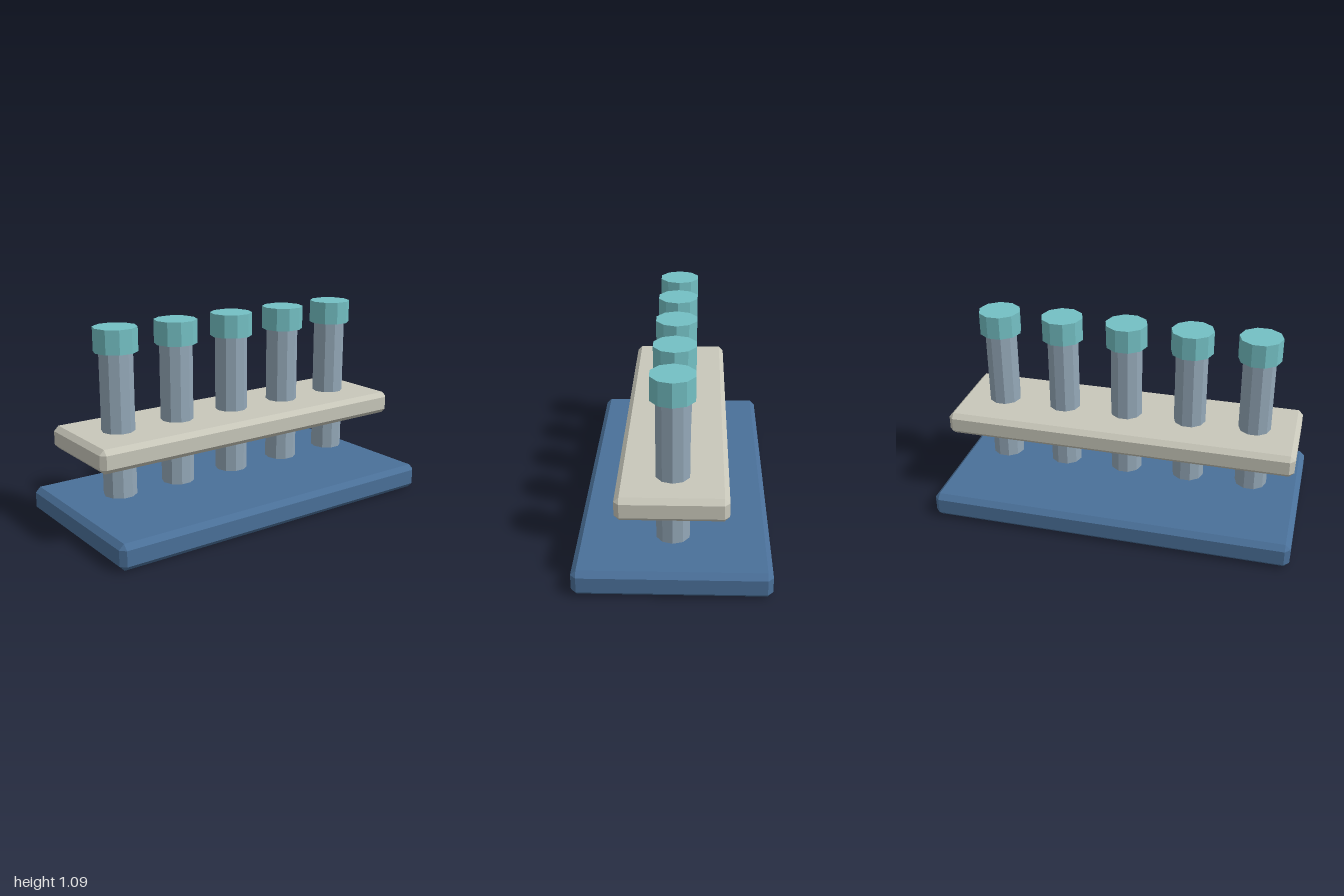
import * as THREE from 'three';
import { ConvexGeometry } from 'three/addons/geometries/ConvexGeometry.js';

const mat = (color) => new THREE.MeshStandardMaterial({ color, flatShading: true });

// Box with every edge chamfered by c
function chamferBox(w, h, d, c) {
  const pts = [];
  for (const sx of [-1, 1]) for (const sy of [-1, 1]) for (const sz of [-1, 1]) {
    for (let face = 0; face < 3; face++) {
      const inset = [0, 1, 2].map((axis) => (axis === face ? 0 : c));
      pts.push(new THREE.Vector3(
        sx * (w / 2 - inset[0]), sy * (h / 2 - inset[1]), sz * (d / 2 - inset[2])));
    }
  }
  return new ConvexGeometry(pts);
}

// Ten-sided upright cylinder with a corner on the x axis, between two heights
function decagon(radius, y0, y1) {
  return new THREE.CylinderGeometry(radius, radius, y1 - y0, 10)
    .rotateY(Math.PI / 2)
    .translate(0, (y0 + y1) / 2, 0);
}

export function createModel() {
  const group = new THREE.Group();
  const add = (name, geometry, material, x = 0, y = 0) => {
    const mesh = new THREE.Mesh(geometry, material);
    mesh.name = name;
    mesh.position.set(x, y, 0);
    group.add(mesh);
  };

  // Base slab and the rack plate floating above it
  add('base', chamferBox(2, 0.14, 1, 0.028), mat(0x4a7099), 0, 0.07);
  add('rackPlate', chamferBox(1.94, 0.126, 0.556, 0.026), mat(0xc8c7ba), 0, 0.482);

  // Row of five capped tubes passing through the plate
  const tubeGeometry = decagon(0.089, 0.195, 0.963);
  const capGeometry = decagon(0.116, 0.963, 1.09);
  const tubeMaterial = mat(0x94a8b8);
  const capMaterial = mat(0x74c0c4);
  for (let i = -2; i <= 2; i++) {
    add(`tube${i + 3}`, tubeGeometry, tubeMaterial, i * 0.362);
    add(`cap${i + 3}`, capGeometry, capMaterial, i * 0.362);
  }
  return group;
}
